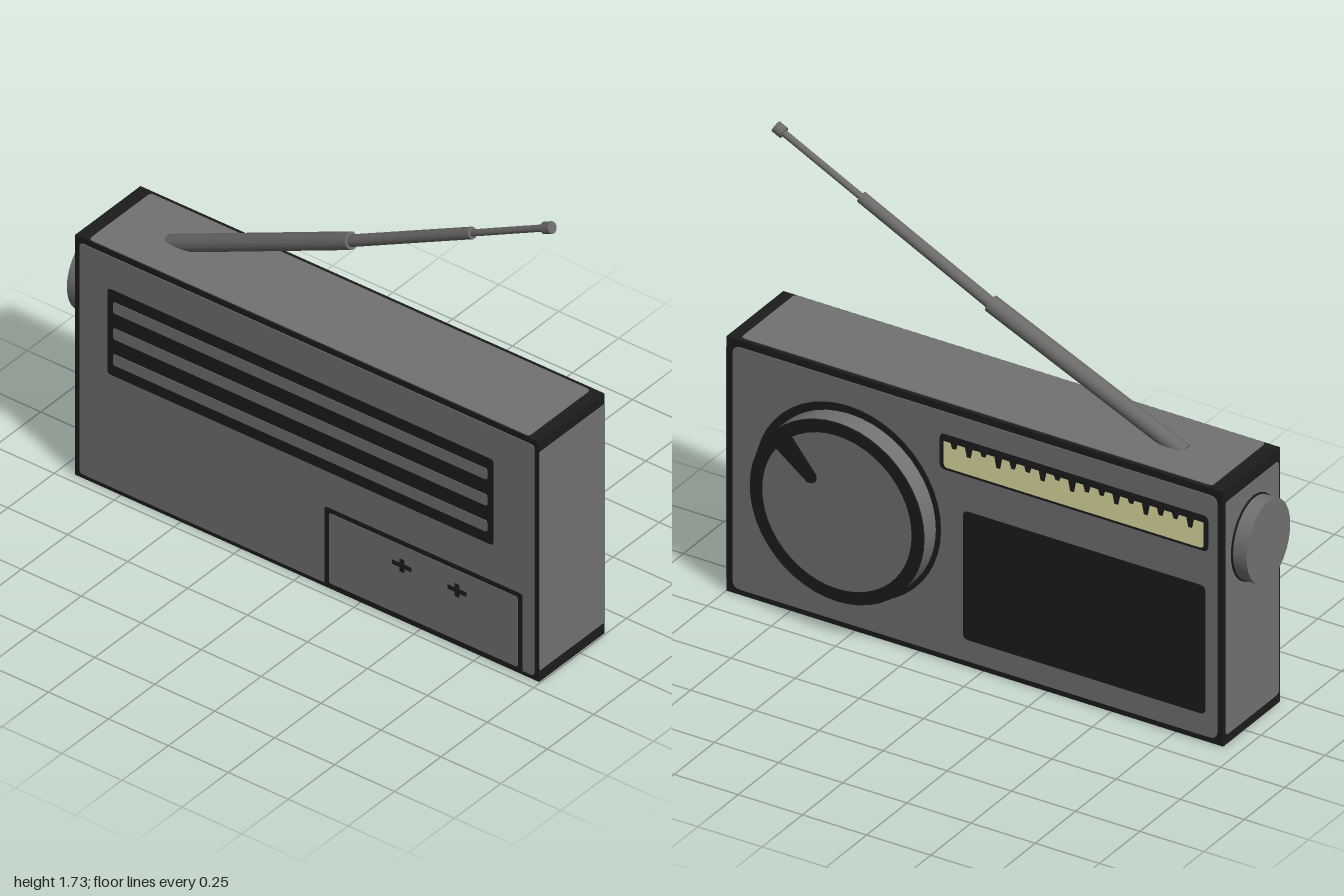
import * as THREE from 'three';

const mat = (name, color) => Object.assign(new THREE.MeshStandardMaterial({ color }), { name });

export function createModel() {
  const grey = mat('casing grey', 0x727272);
  const dark = mat('near black', 0x1c1c1c);
  const cream = mat('dial cream', 0xe3e0a4);
  const metal = mat('aerial metal', 0x6c6a68);

  const radio = new THREE.Group();
  radio.name = 'radio';

  const add = (parent, name, geo, material, x = 0, y = 0, z = 0) => {
    const mesh = new THREE.Mesh(geo, material);
    mesh.name = name;
    mesh.position.set(x, y, z);
    parent.add(mesh);
    return mesh;
  };

  // A face group: local x, y lie in the face and local z points out of it
  const face = (name, pos, rx, ry) => {
    const g = new THREE.Group();
    g.name = name;
    g.position.set(...pos);
    g.rotation.set(rx, ry, 0);
    radio.add(g);
    return g;
  };

  // Thin rounded rectangle from (u0, v0) to (u1, v1)
  const plate = (parent, name, u0, v0, u1, v1, r, material, lift = 0, depth = 0.003) => {
    const s = new THREE.Shape();
    s.moveTo(u0 + r, v0);
    s.lineTo(u1 - r, v0);
    s.quadraticCurveTo(u1, v0, u1, v0 + r);
    s.lineTo(u1, v1 - r);
    s.quadraticCurveTo(u1, v1, u1 - r, v1);
    s.lineTo(u0 + r, v1);
    s.quadraticCurveTo(u0, v1, u0, v1 - r);
    s.lineTo(u0, v0 + r);
    s.quadraticCurveTo(u0, v0, u0 + r, v0);
    const geo = new THREE.ExtrudeGeometry(s, { depth, bevelEnabled: false, curveSegments: 4 });
    return add(parent, name, geo, material, 0, 0, lift);
  };

  const ring = (outer, inner, depth) => {
    const s = new THREE.Shape().absarc(0, 0, outer, 0, Math.PI * 2, false);
    s.holes.push(new THREE.Path().absarc(0, 0, inner, 0, Math.PI * 2, true));
    return new THREE.ExtrudeGeometry(s, { depth, bevelEnabled: false, curveSegments: 24 });
  };

  // Casing: dark core whose edges show around the grey panels
  const X0 = -0.217, X1 = 0.135, Y1 = 0.975, Z0 = -0.938, Z1 = 0.997;
  add(radio, 'casing', new THREE.BoxGeometry(X1 - X0, Y1 - 0.006, Z1 - Z0), dark,
    (X0 + X1) / 2, Y1 / 2, (Z0 + Z1) / 2);

  const speakerSide = face('speakerSide', [X1, 0, 0], 0, Math.PI / 2); // u = -z
  const rearSide = face('rearSide', [X0, 0, 0], 0, -Math.PI / 2); // u = z
  const endFront = face('frontEnd', [0, 0, Z1], 0, 0); // u = x
  const endBack = face('knobEnd', [0, 0, Z0], 0, Math.PI); // u = -x
  const top = face('top', [0, Y1 - 0.003, 0], -Math.PI / 2, 0); // v = -z
  const bottom = face('bottom', [0, 0.003, 0], Math.PI / 2, 0); // v = z

  plate(speakerSide, 'speakerPanel', -0.972, 0.024, 0.916, 0.946, 0.03, grey);
  plate(rearSide, 'rearPanel', -0.918, 0.02, 0.978, 0.95, 0.015, grey);
  plate(endFront, 'frontEndPanel', X0, 0.05, X1, 0.93, 0.005, grey);
  plate(endBack, 'knobEndPanel', -0.122, 0.04, 0.206, 0.925, 0.015, grey);
  plate(top, 'topPanel', -0.212, -0.95, 0.12, 0.885, 0.015, grey);
  plate(bottom, 'bottomPanel', -0.212, -0.885, 0.12, 0.95, 0.015, grey);

  // Speaker grille
  plate(speakerSide, 'speakerGrille', -0.072, 0.107, 0.871, 0.595, 0.02, dark, 0.003);

  // Tuning window with a row of ticks hanging from its top edge
  plate(speakerSide, 'tunerFrame', -0.163, 0.729, 0.882, 0.863, 0.02, dark, 0.003);
  plate(speakerSide, 'tunerScale', -0.146, 0.739, 0.866, 0.85, 0.015, cream, 0.003, 0.005);
  const tickLengths = [0.03, 0.045, 0.025, 0.05, 0.035];
  for (let i = 0; i < 17; i++) {
    const u = -0.105 + i * 0.0575, len = tickLengths[i % 5];
    const tick = new THREE.Shape([
      new THREE.Vector2(u - 0.017, 0.852), new THREE.Vector2(u - 0.007, 0.85 - len),
      new THREE.Vector2(u + 0.007, 0.85 - len), new THREE.Vector2(u + 0.017, 0.852)]);
    add(speakerSide, 'tunerTick', new THREE.ExtrudeGeometry(tick, { depth: 0.002, bevelEnabled: false }),
      dark, 0, 0, 0.008);
  }
  plate(speakerSide, 'tunerTopLine', -0.15, 0.84, 0.87, 0.856, 0.005, dark, 0.008, 0.002);

  // Big tuning dial with dark rim and pointer
  const dial = new THREE.Group();
  dial.name = 'tuningDial';
  dial.position.set(-0.515, 0.49, 0);
  speakerSide.add(dial);
  add(dial, 'dialShadowRing', ring(0.362, 0.33, 0.004), dark, -0.006, 0.003, 0.003);
  const drum = new THREE.CylinderGeometry(0.338, 0.338, 0.081, 48).rotateX(Math.PI / 2);
  add(dial, 'dialDrum', drum, grey, 0, 0, 0.0405);
  add(dial, 'dialRim', ring(0.339, 0.292, 0.006), dark, 0, 0, 0.078);
  const pointer = new THREE.Shape();
  pointer.moveTo(0.12, -0.028);
  pointer.lineTo(0.28, -0.045);
  pointer.lineTo(0.305, 0);
  pointer.lineTo(0.28, 0.045);
  pointer.lineTo(0.12, 0.022);
  pointer.quadraticCurveTo(0.09, -0.003, 0.12, -0.028);
  const hand = add(dial, 'dialPointer',
    new THREE.ExtrudeGeometry(pointer, { depth: 0.004, bevelEnabled: false }), dark, -0.015, 0.01, 0.08);
  hand.rotation.z = Math.PI * 0.75;

  // Side knob, slightly oval
  const knob = new THREE.Group();
  knob.name = 'sideKnob';
  knob.position.set(0.047, 0.715, 0);
  knob.scale.set(0.135, 0.152, 1);
  endBack.add(knob);
  add(knob, 'knobDrum', new THREE.CylinderGeometry(1, 1, 0.062, 32).rotateX(Math.PI / 2), grey, 0, 0, 0.031);
  add(knob, 'knobBaseRing', ring(1.03, 0.95, 0.006), dark, 0, 0, 0.003);

  // Rear vents: dark field with three grey slats
  plate(rearSide, 'ventField', -0.8, 0.475, 0.81, 0.82, 0.015, dark, 0.003, 0.002);
  for (let i = 0; i < 3; i++) {
    const v = 0.52 + i * 0.105;
    plate(rearSide, 'ventSlat', -0.775, v, 0.785, v + 0.045, 0.01, grey, 0.005, 0.002);
  }

  // Battery door with outline and two small marks
  plate(rearSide, 'batteryDoorOutline', 0.105, 0.012, 0.93, 0.33, 0.01, dark, 0.003, 0.002);
  plate(rearSide, 'batteryDoor', 0.125, 0.03, 0.912, 0.312, 0.008, grey, 0.005, 0.002);
  for (const u of [0.43, 0.66]) {
    plate(rearSide, 'doorMark', u - 0.04, 0.222, u + 0.04, 0.24, 0.004, dark, 0.007, 0.001);
    plate(rearSide, 'doorMark', u - 0.01, 0.205, u + 0.01, 0.257, 0.004, dark, 0.007, 0.001);
  }

  // Telescopic aerial leaning forward
  const aerial = new THREE.Group();
  aerial.name = 'aerial';
  radio.add(aerial);
  const points = [[0.955, -0.675], [1.292, 0.08], [1.542, 0.585], [1.692, 0.885], [1.708, 0.918]]
    .map(([y, z]) => new THREE.Vector3(-0.044, y, z));
  [0.031, 0.021, 0.012, 0.021].forEach((r, i) => {
    const dir = points[i + 1].clone().sub(points[i]);
    const rod = add(aerial, i < 3 ? 'aerialSection' : 'aerialTip',
      new THREE.CylinderGeometry(r, r, dir.length(), 16), metal);
    rod.position.copy(points[i]).addScaledVector(dir, 0.5);
    rod.quaternion.setFromUnitVectors(new THREE.Vector3(0, 1, 0), dir.normalize());
  });

  return radio;
}
